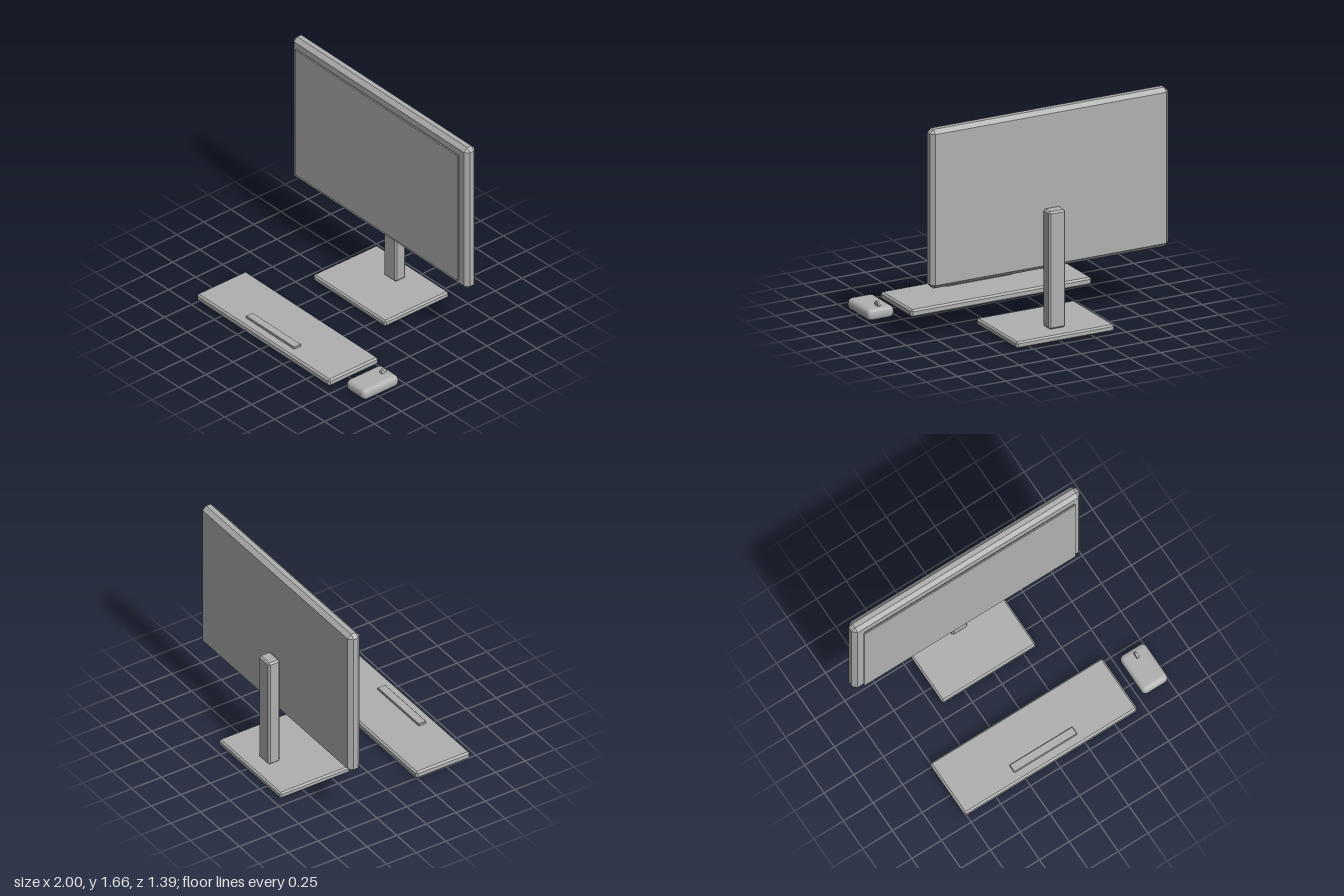
import * as THREE from 'three';
import { ConvexGeometry } from 'three/addons/geometries/ConvexGeometry.js';
import { RoundedBoxGeometry } from 'three/addons/geometries/RoundedBoxGeometry.js';

// Box with every edge cut by one flat bevel
function bevelBox(w, h, d, b) {
  const points = [];
  for (const sx of [-1, 1]) for (const sy of [-1, 1]) for (const sz of [-1, 1]) {
    const x = w / 2, y = h / 2, z = d / 2;
    points.push(
      new THREE.Vector3(sx * x, sy * (y - b), sz * (z - b)),
      new THREE.Vector3(sx * (x - b), sy * y, sz * (z - b)),
      new THREE.Vector3(sx * (x - b), sy * (y - b), sz * z));
  }
  return new ConvexGeometry(points);
}

export function createModel() {
  const group = new THREE.Group();
  const grey = new THREE.MeshStandardMaterial({ color: 0xb0b0b0 });
  grey.name = 'grey';

  function add(name, geometry, x, y, z) {
    const mesh = new THREE.Mesh(geometry, grey);
    mesh.name = name;
    mesh.position.set(x, y, z);
    group.add(mesh);
  }

  // Bevelled part given by its limits on each axis
  function block(name, [x0, x1], [y0, y1], [z0, z1], bevel) {
    add(name, bevelBox(x1 - x0, y1 - y0, z1 - z0, bevel),
      (x0 + x1) / 2, (y0 + y1) / 2, (z0 + z1) / 2);
  }

  // Monitor on its stand
  block('monitorCase', [-1, 0.92], [0.47, 1.66], [-0.48, -0.382], 0.03);
  block('screenPanel', [-0.932, 0.853], [0.535, 1.597], [-0.37, -0.355], 0.005);
  block('standColumn', [-0.108, 0.025], [0.05, 0.93], [-0.578, -0.48], 0.013);
  block('standBase', [-0.435, 0.355], [0, 0.05], [-0.697, -0.104], 0.012);

  // Keyboard
  block('keyboard', [-0.766, 0.688], [0.003, 0.06], [0.235, 0.693], 0.013);
  block('spaceBar', [-0.305, 0.225], [0.055, 0.077], [0.56, 0.625], 0.004);

  // Mouse with its scroll wheel
  const body = new RoundedBoxGeometry(0.214, 0.088, 0.328, 2, 0.036).toNonIndexed();
  body.computeVertexNormals();
  add('mouseBody', body, 0.891, 0.047, 0.464);
  const wheel = new THREE.CylinderGeometry(0.025, 0.025, 0.018, 24).rotateZ(Math.PI / 2);
  add('scrollWheel', wheel, 0.891, 0.101, 0.366);

  return group;
}
